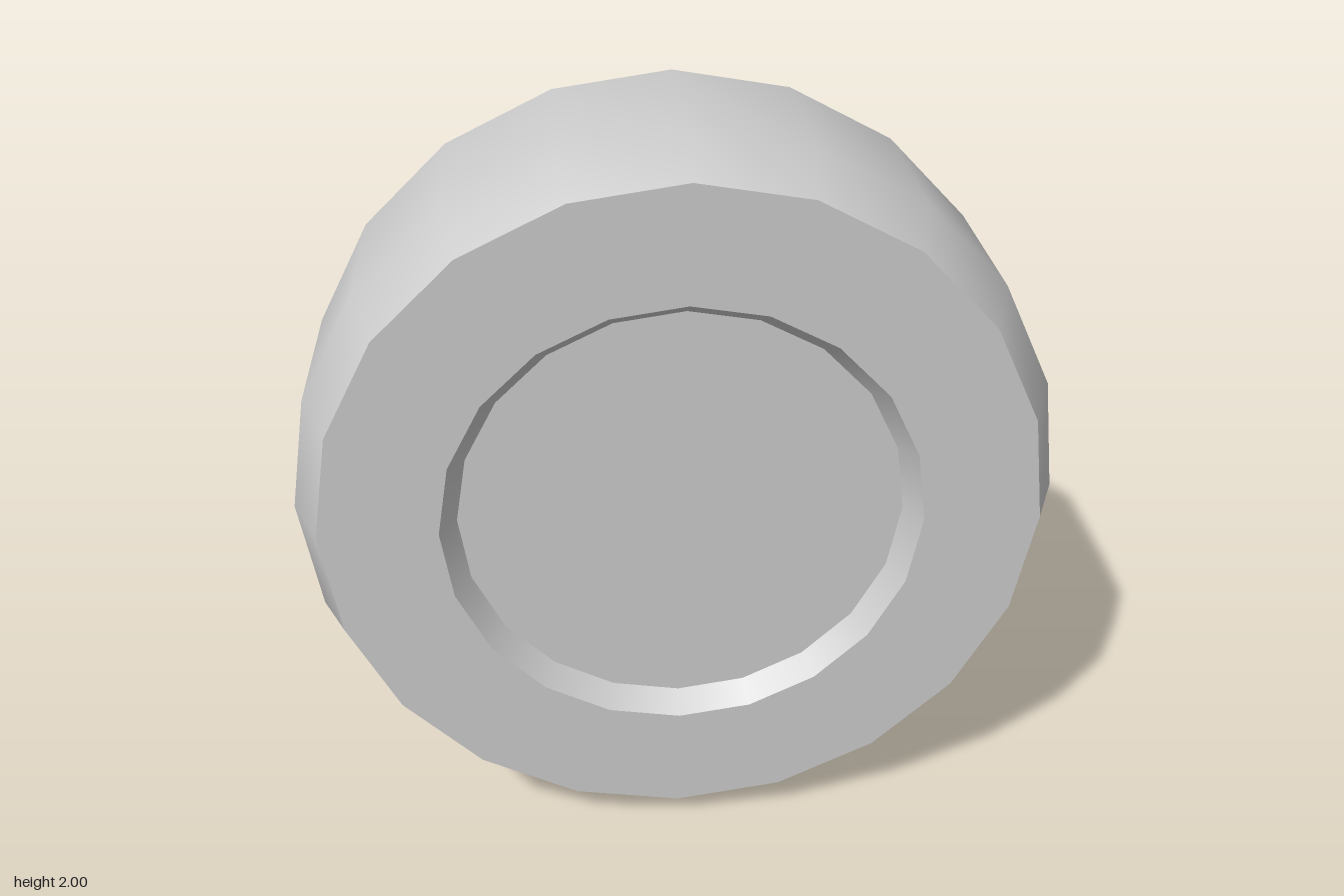
import * as THREE from 'three';

const SIDES = 20;
const HALF = 0.385;                    // half width of the wheel
const material = new THREE.MeshStandardMaterial({ color: 0xcccccc });

// Turns a [radius, offset along axle] profile around the z axis
function turned(name, profile) {
  const points = profile.map(([r, a]) => new THREE.Vector2(r, a));
  const geometry = new THREE.LatheGeometry(points, SIDES).rotateX(Math.PI / 2);
  const mesh = new THREE.Mesh(geometry, material);
  mesh.name = name;
  return mesh;
}

export function createModel() {
  const wheel = new THREE.Group();
  wheel.name = 'wheel';

  // Tread with smooth bevelled shoulders
  wheel.add(turned('tread', [[0.925, -HALF], [0.996, -0.23], [0.996, 0.23], [0.925, HALF]]));

  // Sidewall, recess wall and hub disc, each with its own sharp edges
  const sideParts = {
    Sidewall: [[0.925, HALF], [0.62, HALF]],
    RecessWall: [[0.62, HALF], [0.577, 0.32]],
    HubDisc: [[0.577, 0.32], [0, 0.32]],
  };
  for (const [part, profile] of Object.entries(sideParts)) {
    wheel.add(turned('front' + part, profile));
    wheel.add(turned('back' + part, profile.map(([r, a]) => [r, -a]).reverse()));
  }

  // The wheel sits slightly tilted
  wheel.rotation.set(0.016, 0.005, -0.016);
  wheel.position.y = 1;

  const model = new THREE.Group();
  model.name = 'model';
  model.add(wheel);
  return model;
}
